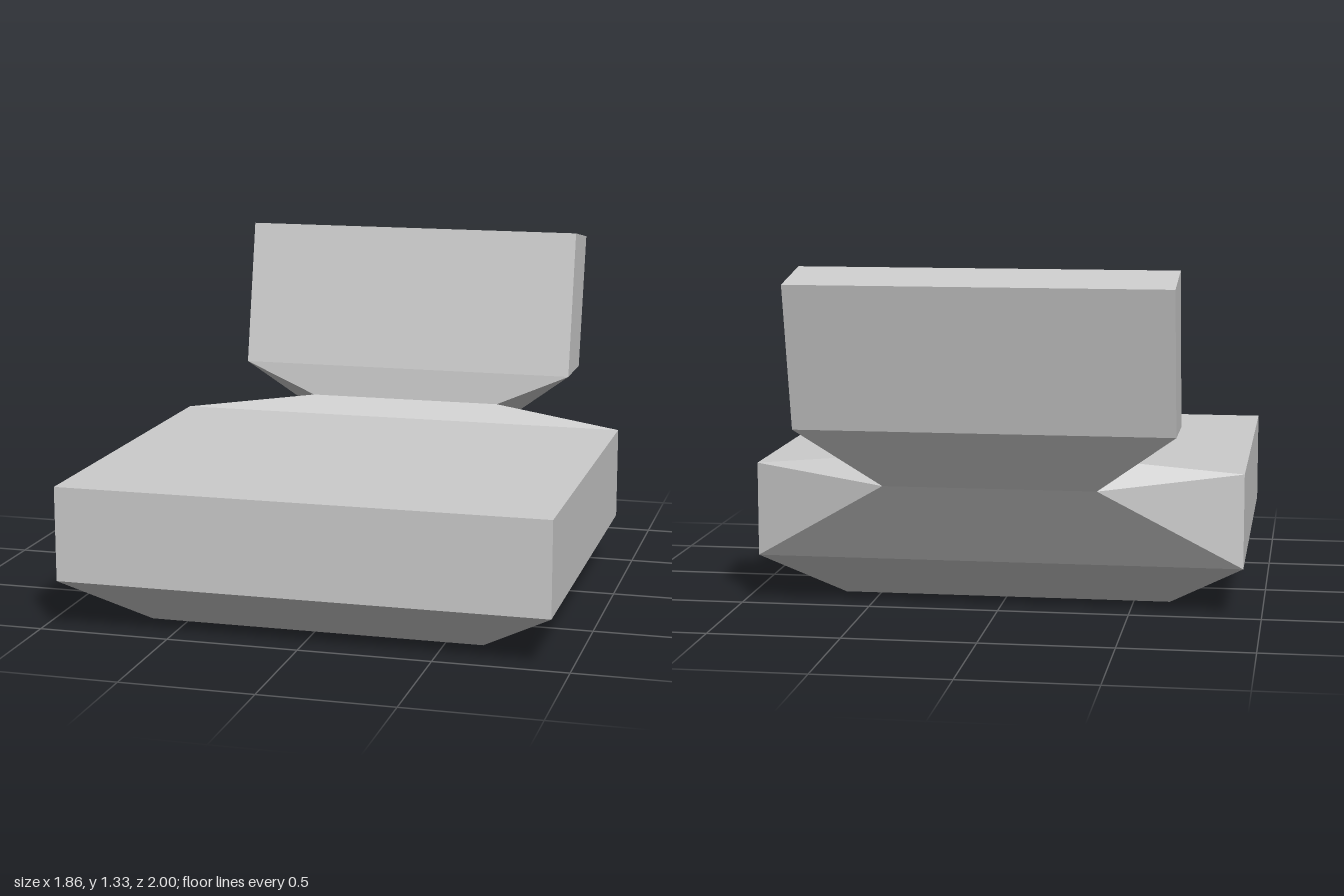
import * as THREE from 'three';

// A section is a four-cornered loop: edge A (front or top) and edge B (back or bottom).
const section = (w, yA, zA, yB, zB) => [[w, yA, zA], [-w, yA, zA], [-w, yB, zB], [w, yB, zB]];

// Flat-sided solid between two sections; opposite twisted sides are creased as mirror images.
function loft(name, material, from, to, { startCap = false, endCap = false, flip = 3, skip = -1 } = {}) {
  const pos = [];
  const tri = (...pts) => pts.forEach((p) => pos.push(...p));
  for (let j = 0; j < 4; j++) {
    if (j === skip) continue;
    const k = (j + 1) % 4;
    const [p, q, p2, q2] = [from[j], from[k], to[j], to[k]];
    if (j === flip) {
      tri(q, p, q2);
      tri(p, p2, q2);
    } else {
      tri(q, p, p2);
      tri(q, p2, q2);
    }
  }
  if (startCap) {
    tri(from[0], from[1], from[2]);
    tri(from[0], from[2], from[3]);
  }
  if (endCap) {
    tri(to[0], to[2], to[1]);
    tri(to[0], to[3], to[2]);
  }
  const geo = new THREE.BufferGeometry();
  geo.setAttribute('position', new THREE.Float32BufferAttribute(pos, 3));
  geo.computeVertexNormals();
  const mesh = new THREE.Mesh(geo, material);
  mesh.name = name;
  return mesh;
}

export function createModel() {
  const group = new THREE.Group();
  group.name = 'seat';
  const grey = new THREE.MeshStandardMaterial({ color: 0xcccccc });
  grey.name = 'light grey';

  // Horizontal sections of the cushion
  const foot = section(0.64, 0, 0.77, 0, -0.26);
  const seatLow = section(0.93, 0.19, 1, 0.19, -0.5);
  const seatTop = section(0.93, 0.55, 1, 0.55, -0.5);

  // Sections running from the rear of the cushion up the backrest
  const rear = section(0.93, 0.55, -0.5, 0.19, -0.5);
  const waist = section(0.4, 0.61, -0.6, 0.51, -0.71);
  const backLow = section(0.7, 0.74, -0.61, 0.74, -0.87);
  const backTop = section(0.7, 1.325, -0.735, 1.28, -1);

  group.add(
    loft('taperedBase', grey, foot, seatLow, { startCap: true }),
    // The rear wall stays open where the neck joins
    loft('cushion', grey, seatLow, seatTop, { endCap: true, skip: 2 }),
    loft('neck', grey, rear, waist, { flip: 1 }),
    loft('backrestFlare', grey, waist, backLow, { flip: 3 }),
    loft('backrest', grey, backLow, backTop, { endCap: true }),
  );
  return group;
}
